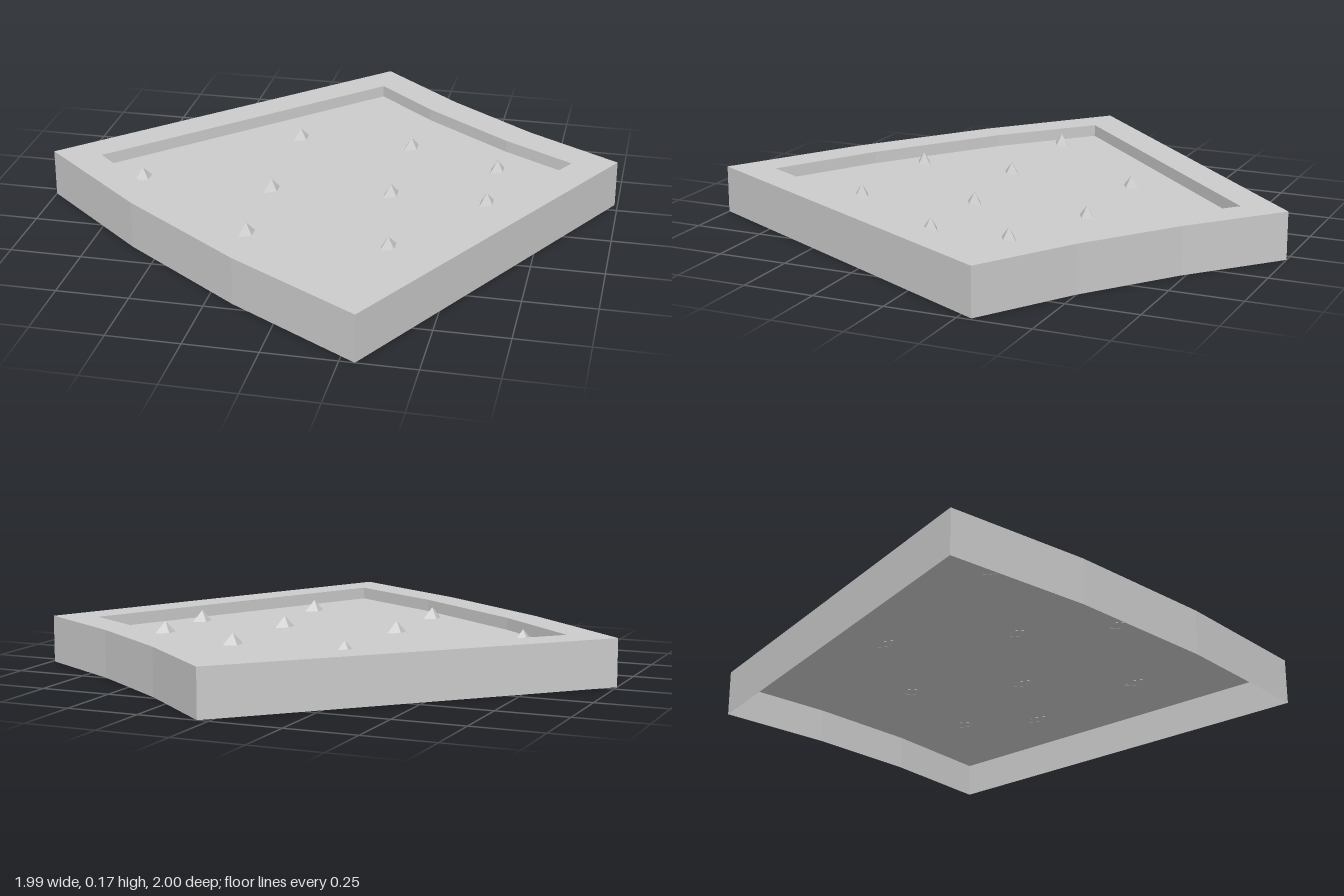
import * as THREE from 'three';

const TOP = 0.167, FLOOR = 0.124;

// Plan outlines as [x, z]
const OUTER = [[0.04, -1], [0.34, -0.735], [0.655, -0.5], [0.99, -0.295],
  [0.3, 1], [-0.16, 0.717], [-0.6, 0.39], [-1, 0.035]];
const INNER = [[0.043, -0.837], [0.26, -0.64], [0.58, -0.403], [0.83, -0.253],
  [0.253, 0.828], [-0.102, 0.615], [-0.52, 0.307], [-0.823, 0.03]];

// Stud centres on the recessed floor, [x, z]
const STUDS = [[-0.18, -0.365], [0.235, -0.365], [0.57, -0.23], [-0.648, 0.097],
  [-0.18, 0.097], [0.235, 0.05], [0.57, 0.05], [-0.18, 0.452], [0.3, 0.452]];

// Skewed base of one stud, [x, z]
const STUD_BASE = [[-0.022, -0.012], [0.022, -0.036], [0.022, 0.012], [-0.022, 0.036]];

const toPoints = (outline) => outline.map(([x, z]) => new THREE.Vector2(x, -z));

// Flat-faced geometry from a list of triangle corner positions
function fromCorners(corners) {
  const geometry = new THREE.BufferGeometry();
  geometry.setAttribute('position', new THREE.Float32BufferAttribute(corners.flat(), 3));
  geometry.computeVertexNormals();
  return geometry;
}

// Open vertical wall following an outline
function wallBand(outline, y0, y1) {
  const corners = [];
  outline.forEach(([ax, az], i) => {
    const [bx, bz] = outline[(i + 1) % outline.length];
    corners.push([bx, y0, bz], [ax, y0, az], [ax, y1, az],
      [bx, y0, bz], [ax, y1, az], [bx, y1, bz]);
  });
  return fromCorners(corners);
}

// Four-sided skewed pyramid
function pyramid(base, height) {
  const corners = [];
  base.forEach(([ax, az], i) => {
    const [bx, bz] = base[(i + 1) % base.length];
    corners.push([bx, 0, bz], [ax, 0, az], [0, height, 0]);
  });
  return fromCorners(corners);
}

export function createModel() {
  const group = new THREE.Group();
  const material = new THREE.MeshStandardMaterial({
    color: 0xcccccc, flatShading: true, side: THREE.DoubleSide,
  });
  const add = (name, geometry, x = 0, y = 0, z = 0) => {
    const mesh = new THREE.Mesh(geometry, material);
    mesh.name = name;
    mesh.position.set(x, y, z);
    group.add(mesh);
  };

  // Raised rim around the recess
  const rimShape = new THREE.Shape(toPoints(OUTER));
  rimShape.holes.push(new THREE.Path(toPoints(INNER)));
  const rim = new THREE.ExtrudeGeometry(rimShape, { depth: TOP - FLOOR, bevelEnabled: false });
  add('rim', rim.rotateX(-Math.PI / 2), 0, FLOOR, 0);

  // Recessed floor, a thin sheet over the hollow underside
  const floor = new THREE.ShapeGeometry(new THREE.Shape(toPoints(INNER)));
  add('floor', floor.rotateX(-Math.PI / 2), 0, FLOOR, 0);

  // Outer skirt, open underneath
  add('skirt', wallBand(OUTER, 0, FLOOR));

  // Small pointed studs
  const stud = pyramid(STUD_BASE, 0.042);
  STUDS.forEach(([x, z], i) => add(`stud${i + 1}`, stud, x, FLOOR - 0.001, z));

  return group;
}
